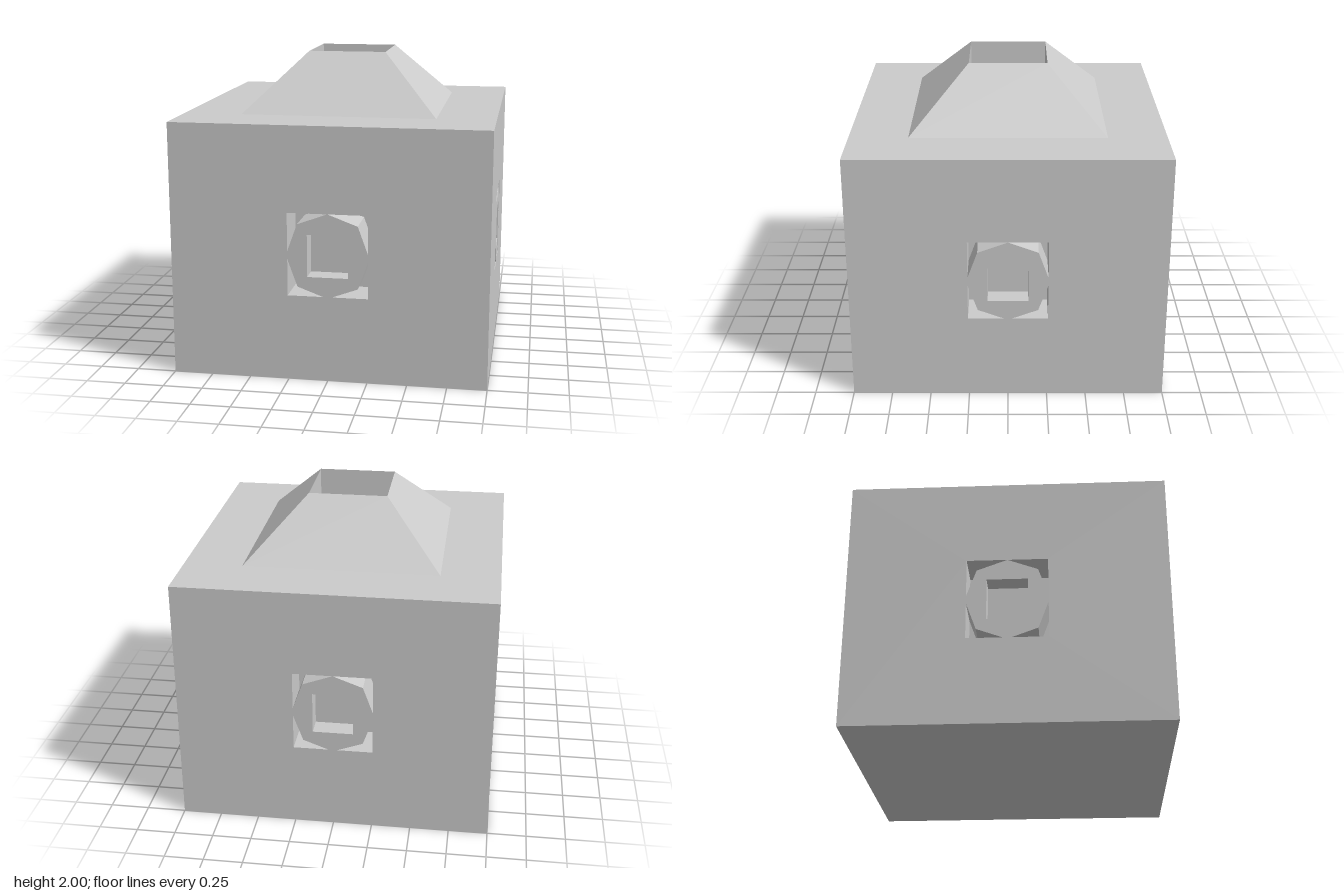
import * as THREE from 'three';

const material = new THREE.MeshStandardMaterial({ color: 0xcccccc, flatShading: true });
const inner = new THREE.MeshStandardMaterial({ color: 0xcccccc, flatShading: true, side: THREE.BackSide });

const WALL = 1.625;    // height of the block
const PORT = 0.253;    // half width of each square opening
const POCKET = 0.25;   // depth of the socket behind each face
const RECESS = 0.125;  // depth of the hole in each plug

function add(parent, name, geometry, mat = material) {
  const mesh = new THREE.Mesh(geometry, mat);
  mesh.name = name;
  parent.add(mesh);
  return mesh;
}

function rectPoints(x0, y0, x1, y1) {
  return [[x0, y0], [x1, y0], [x1, y1], [x0, y1]].map(([x, y]) => new THREE.Vector2(x, y));
}

// Flat plate with one rectangular opening
function plate(outer, hole) {
  const shape = new THREE.Shape(outer);
  shape.holes.push(new THREE.Path(hole));
  return new THREE.ShapeGeometry(shape);
}

// Four-sided open tube, upright, with half widths at top and bottom
function squareTube(top, bottom, height) {
  const k = Math.SQRT2;
  return new THREE.CylinderGeometry(top * k, bottom * k, height, 4, 1, true, Math.PI / 4);
}

// Socket looking along +z with its mouth at z = 0
function makeSocket(name, lined) {
  const socket = new THREE.Group();
  socket.name = name;

  if (lined) {
    const lining = squareTube(PORT, PORT, POCKET).rotateX(Math.PI / 2);
    lining.scale(1, 0.265 / PORT, 1).translate(0, 0.005, -POCKET / 2);
    add(socket, 'socketLining', lining, inner);
  }
  add(socket, 'socketFloor', new THREE.PlaneGeometry(2 * PORT, 0.53).translate(0, 0.005, -POCKET));

  // Octagonal plug, its points trimmed by the opening
  const right = [[0.028, -0.26], [0.19, -0.2], [PORT, -0.025], [PORT, 0.025], [0.19, 0.2]];
  const left = right.map(([x, y]) => [-x, y]).reverse();
  const outline = [...right, [0, 0.27], ...left].map(([x, y]) => new THREE.Vector2(x, y));
  const shape = new THREE.Shape(outline);
  shape.holes.push(new THREE.Path(rectPoints(-0.128, -0.135, 0.128, 0.135)));
  const plug = new THREE.ExtrudeGeometry(shape, { depth: POCKET, bevelEnabled: false });
  add(socket, 'octagonPlug', plug.translate(0, 0, -POCKET));
  add(socket, 'plugRecessFloor', new THREE.PlaneGeometry(0.256, 0.27).translate(0, 0, -RECESS));
  return socket;
}

export function createModel() {
  const model = new THREE.Group();
  model.name = 'socketBlock';

  // Four side walls, each with a socket
  ['front', 'left', 'back', 'right'].forEach((side, i) => {
    const face = new THREE.Group();
    face.name = side + 'Side';
    face.rotation.y = i * Math.PI / 2;
    const wall = plate(rectPoints(-1, 0, 1, WALL), rectPoints(-PORT, 0.55, PORT, 1.08));
    add(face, side + 'Wall', wall.translate(0, 0, 1));
    const socket = makeSocket(side + 'Socket', true);
    socket.position.set(0, 0.81, 1);
    face.add(socket);
    model.add(face);
  });

  // Underside and roof
  add(model, 'base', new THREE.PlaneGeometry(2, 2).rotateX(Math.PI / 2));
  const roof = plate(rectPoints(-1, -1, 1, 1), rectPoints(-0.625, -0.625, 0.625, 0.625));
  add(model, 'roof', roof.rotateX(-Math.PI / 2).translate(0, WALL, 0));

  // Sloped collar with a straight shaft down to the top socket
  const rise = 2 - WALL;
  add(model, 'collar', squareTube(PORT, 0.625, rise).translate(0, WALL + rise / 2, 0));
  const depth = rise + POCKET;
  add(model, 'collarShaft', squareTube(PORT, PORT, depth).translate(0, 2 - depth / 2, 0), inner);

  const topSocket = makeSocket('topSocket', false);
  topSocket.rotation.x = -Math.PI / 2;
  topSocket.scale.y = 0.95;
  topSocket.position.y = WALL;
  model.add(topSocket);

  return model;
}
